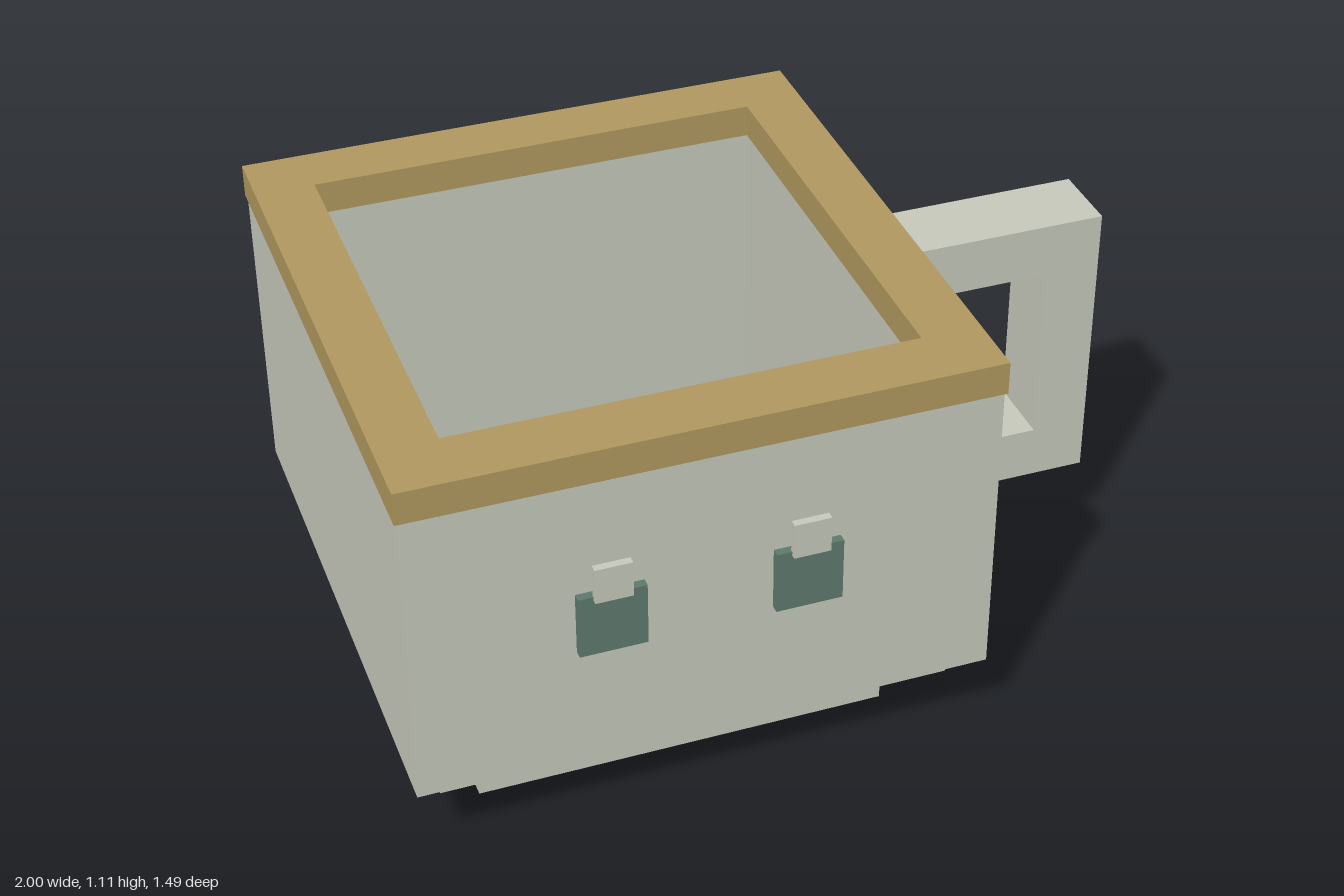
import * as THREE from 'three';

const mat = (name, color) => {
  const m = new THREE.MeshStandardMaterial({ color });
  m.name = name;
  return m;
};

export function createModel() {
  const group = new THREE.Group();
  const clay = mat('pale clay', 0xc6c9bb);
  const gold = mat('ochre', 0xb0985f);
  const green = mat('deep green', 0x5f7a6e);

  const add = (name, geometry, material) => {
    const mesh = new THREE.Mesh(geometry, material);
    mesh.name = name;
    group.add(mesh);
    return mesh;
  };

  // Box given by its limits on each axis
  const box = (name, material, [x0, x1], [y0, y1], [z0, z1]) =>
    add(name, new THREE.BoxGeometry(x1 - x0, y1 - y0, z1 - z0), material)
      .position.set((x0 + x1) / 2, (y0 + y1) / 2, (z0 + z1) / 2);

  const rect = (Type, [x0, x1], [y0, y1]) => new Type([
    new THREE.Vector2(x0, y0), new THREE.Vector2(x1, y0),
    new THREE.Vector2(x1, y1), new THREE.Vector2(x0, y1),
  ]);

  // Upright rectangular ring: outer and inner limits in x and z
  const ring = (name, material, [y0, y1], outX, outZ, inX, inZ) => {
    const flip = ([a, b]) => [-b, -a];
    const shape = rect(THREE.Shape, outX, flip(outZ));
    shape.holes.push(rect(THREE.Path, inX, flip(inZ)));
    const g = new THREE.ExtrudeGeometry(shape, { depth: y1 - y0, bevelEnabled: false });
    g.rotateX(-Math.PI / 2).translate(0, y0, 0);
    return add(name, g, material);
  };

  // Stepped foot, hollow body and rim
  box('foot', clay, [-0.8, 0.25], [0, 0.15], [-0.54, 0.515]);
  ring('lowerStep', clay, [0.15, 0.22], [-0.925, 0.37], [-0.66, 0.64], [-0.735, 0.18], [-0.47, 0.44]);
  ring('body', clay, [0.22, 1.02], [-0.995, 0.445], [-0.735, 0.71], [-0.85, 0.3], [-0.59, 0.555]);
  ring('rim', gold, [1.02, 1.105], [-1, 0.45], [-0.742, 0.718], [-0.85, 0.3], [-0.59, 0.555]);

  // Inner floor set into the step
  box('innerFloor', green, [-0.735, 0.18], [0.15, 0.2], [-0.47, 0.44]);

  // Square handle on the left side, open toward the body
  const handle = new THREE.Shape([
    [0.445, 0.245], [1, 0.245], [1, 1.013], [0.445, 1.013],
    [0.445, 0.87], [0.855, 0.87], [0.855, 0.387], [0.445, 0.387],
  ].map(([x, y]) => new THREE.Vector2(x, y)));
  add('handle', new THREE.ExtrudeGeometry(handle, { depth: 0.193, bevelEnabled: false }), clay)
    .position.z = -0.11;

  // Eyes with pale highlights
  [['right', -0.515], ['left', -0.035]].forEach(([side, x]) => {
    box(side + 'Eye', green, [x - 0.083, x + 0.083], [0.545, 0.712], [0.71, 0.732]);
    box(side + 'EyeHighlight', clay, [x - 0.046, x + 0.046], [0.702, 0.797], [0.725, 0.745]);
  });

  return group;
}
